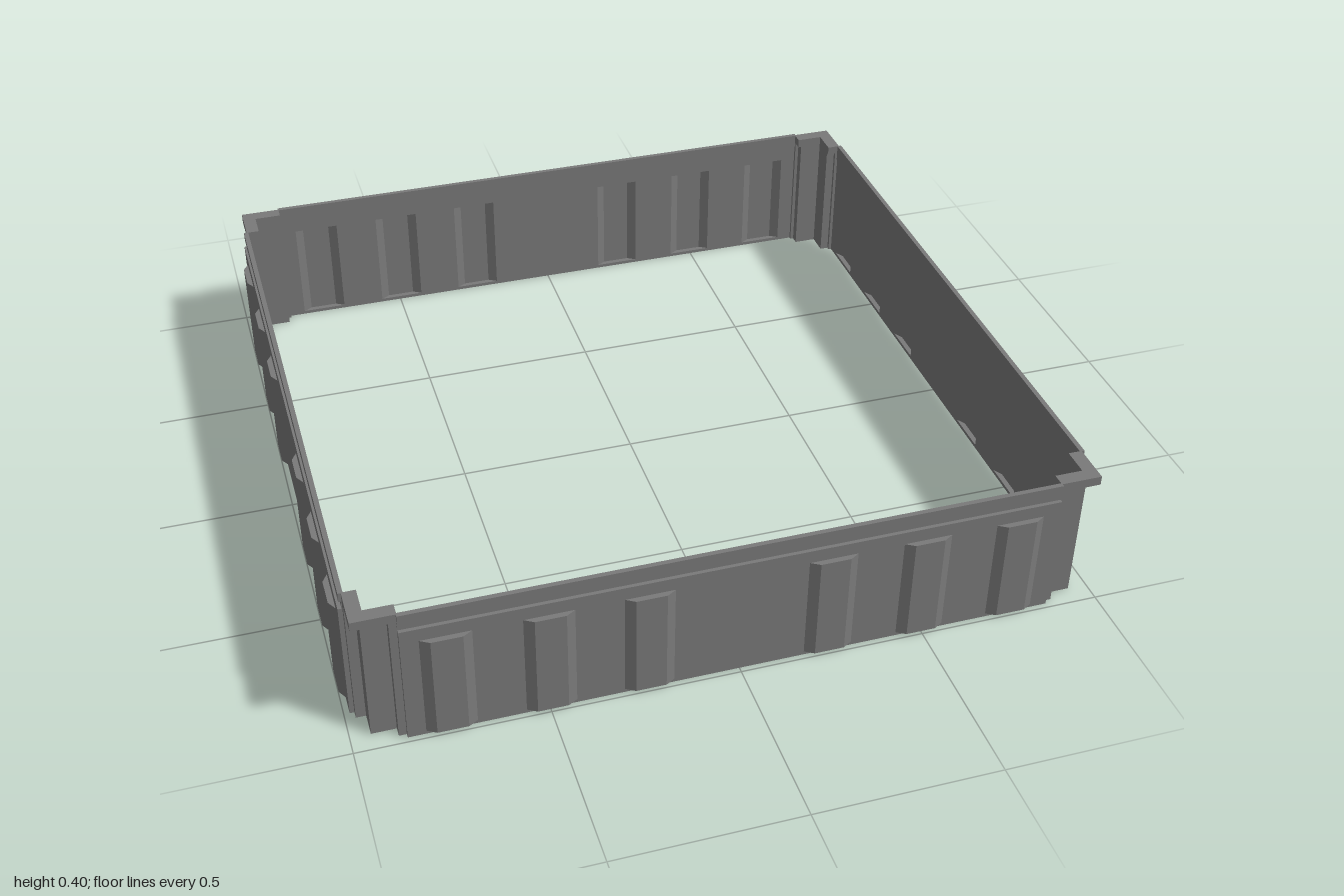
import * as THREE from 'three';

const plastic = new THREE.MeshStandardMaterial({ color: 0x7a7a7a });
plastic.name = 'grey plastic';

// Upright prism from a plan outline of [x, z] points, between heights y0 and y1
function prism(name, outline, y0, y1) {
  const shape = new THREE.Shape(outline.map(([x, z]) => new THREE.Vector2(x, -z)));
  const geo = new THREE.ExtrudeGeometry(shape, { depth: y1 - y0, bevelEnabled: false });
  geo.rotateX(-Math.PI / 2);
  geo.translate(0, y0, 0);
  const mesh = new THREE.Mesh(geo, plastic);
  mesh.name = name;
  return mesh;
}

const bar = (name, half, z0, z1, y0, y1) =>
  prism(name, [[-half, z0], [half, z0], [half, z1], [-half, z1]], y0, y1);

// Plan outline of the corrugated sheet: three ribs on either side of a flat middle
function corrugatedOutline(half, z, rib, thickness) {
  const right = [];
  for (const [a, b] of [[0.175, 0.305], [0.43, 0.56], [0.685, 0.815]]) {
    right.push([a, z], [a + 0.025, z + rib], [b - 0.025, z + rib], [b, z]);
  }
  right.push([half, z]);
  const outer = [...right.map(([x, d]) => [-x, d]).reverse(), ...right];
  const inner = outer.map(([x, d]) => [x, d - thickness]).reverse();
  return [...outer, ...inner];
}

function createSide() {
  const side = new THREE.Group();
  side.name = 'side';
  side.add(bar('wallFoot', 0.862, 0.97, 0.985, 0, 0.01));
  side.add(prism('corrugatedWall', corrugatedOutline(0.862, 0.985, 0.015, 0.015), 0.01, 0.31));
  side.add(bar('wallTop', 0.862, 0.97, 0.985, 0.31, 0.347));
  side.add(bar('neck', 0.862, 0.968, 0.975, 0.347, 0.37));
  side.add(bar('rim', 0.862, 0.968, 0.981, 0.37, 0.396));
  return side;
}

// Stepped corner post under an L-shaped top plate
function createCorner() {
  const corner = new THREE.Group();
  corner.name = 'corner';
  const mirrorDiagonal = (pts) => [...pts, ...pts.map(([x, z]) => [z, x]).reverse()];
  const outer = mirrorDiagonal([[0.86, 0.973], [0.882, 0.973], [0.882, 0.947], [0.947, 0.947]].slice(0, 3));
  outer.splice(3, 0, [0.947, 0.947]);
  const inner = mirrorDiagonal([[0.86, 0.961], [0.87, 0.961], [0.87, 0.936]]);
  inner.splice(3, 0, [0.936, 0.936]);
  corner.add(prism('cornerPost', [...outer, ...inner.reverse()], 0, 0.37));
  corner.add(prism('cornerPlate', [
    [0.86, 0.973], [0.973, 0.973], [0.973, 0.86],
    [0.936, 0.86], [0.936, 0.936], [0.86, 0.936],
  ], 0.37, 0.396));
  return corner;
}

export function createModel() {
  const model = new THREE.Group();
  model.name = 'squareFrame';
  for (let i = 0; i < 4; i++) {
    const quarter = new THREE.Group();
    quarter.name = 'frameQuarter';
    quarter.add(createSide(), createCorner());
    quarter.rotation.y = i * Math.PI / 2;
    model.add(quarter);
  }
  return model;
}
